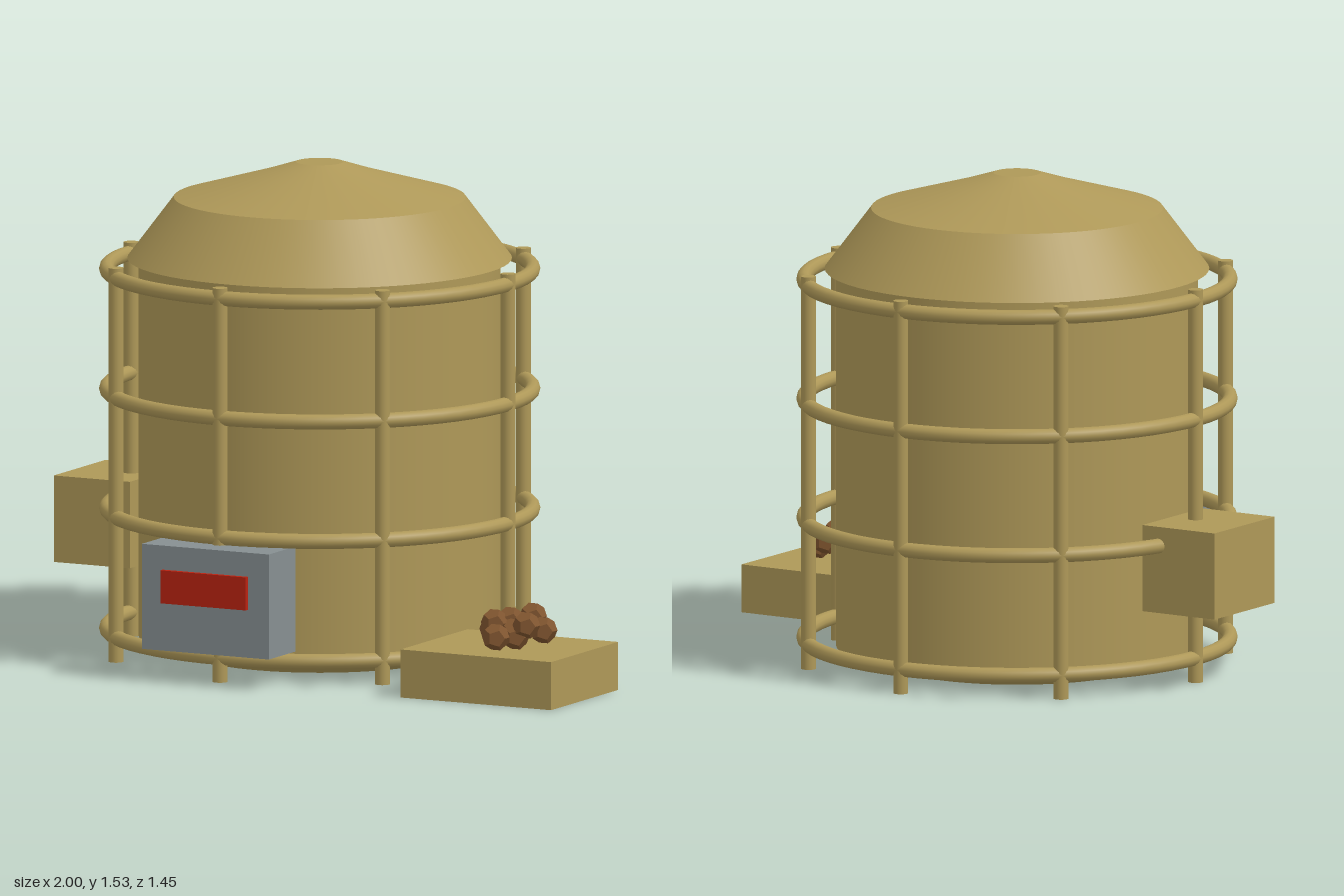
import * as THREE from 'three';

const CX = -0.16, CZ = -0.045; // tank axis

function material(name, color) {
  const m = new THREE.MeshStandardMaterial({ color });
  m.name = name;
  return m;
}

export function createModel() {
  const khaki = material('khaki', 0xae9858);
  const grey = material('grey', 0x868f91);
  const red = material('red', 0xb92211);
  const brown = material('brown', 0x80552f);

  const model = new THREE.Group();
  model.name = 'caged tank';

  const add = (parent, name, geometry, mat, x = 0, y = 0, z = 0) => {
    const mesh = new THREE.Mesh(geometry, mat);
    mesh.name = name;
    mesh.position.set(x, y, z);
    parent.add(mesh);
    return mesh;
  };
  // box given by its limits on each axis
  const box = (name, mat, [x0, x1], [y0, y1], [z0, z1]) =>
    add(model, name, new THREE.BoxGeometry(x1 - x0, y1 - y0, z1 - z0), mat,
      (x0 + x1) / 2, (y0 + y1) / 2, (z0 + z1) / 2);

  // Tank: one lathe per band keeps the edges between bands crisp
  const tank = new THREE.Group();
  tank.name = 'tank';
  tank.position.set(CX, 0, CZ);
  model.add(tank);
  const bands = {
    tankFloor: [[0, 0], [0.41, 0]],
    tankBevel: [[0.41, 0], [0.558, 0.05]],
    tankWall: [[0.558, 0.05], [0.558, 1.23]],
    lidUnderside: [[0.55, 1.23], [0.593, 1.23]],
    lidShoulder: [[0.593, 1.23], [0.45, 1.42]],
    lidCrown: [[0.45, 1.42], [0.18, 1.496], [0.073, 1.53]],
    lidTop: [[0.073, 1.53], [0, 1.53]],
  };
  for (const [name, points] of Object.entries(bands)) {
    const profile = points.map(([r, y]) => new THREE.Vector2(r, y));
    add(tank, name, new THREE.LatheGeometry(profile, 64), khaki);
  }

  // Cage: four hoops and eight posts
  const cage = new THREE.Group();
  cage.name = 'cage';
  cage.position.set(CX, 0, CZ);
  model.add(cage);
  const R = 0.657, ROD = 0.0235;
  const hoop = new THREE.TorusGeometry(R, ROD, 12, 64).rotateX(Math.PI / 2);
  for (const y of [0.075, 0.45, 0.823, 1.197]) add(cage, 'hoop', hoop, khaki, 0, y, 0);
  const post = new THREE.CylinderGeometry(ROD, ROD, 1.23, 16);
  for (let i = 0; i < 8; i++) {
    const a = i * Math.PI / 4;
    add(cage, 'post', post, khaki, R * Math.cos(a), 0.615, R * Math.sin(a));
  }

  // Boxes around the tank
  box('sideBox', khaki, [-1, -0.735], [0.24, 0.51], [-0.22, 0.12]);
  box('controlBox', grey, [-0.38, 0.063], [0.1, 0.428], [0.535, 0.712]);
  box('controlPanel', red, [-0.307, -0.01], [0.25, 0.353], [0.71, 0.728]);
  box('tray', khaki, [0.475, 1], [0, 0.15], [0.18, 0.623]);

  // Heap of lumps on the tray
  const heap = new THREE.Group();
  heap.name = 'heap';
  model.add(heap);
  const lump = new THREE.DodecahedronGeometry(0.043);
  const lumps = [
    [0.765, 0.23, 0.297], [0.835, 0.2, 0.36], [0.695, 0.2, 0.36], [0.683, 0.2, 0.405],
    [0.74, 0.23, 0.4], [0.785, 0.19, 0.45], [0.825, 0.228, 0.455], [0.712, 0.228, 0.45],
    [0.745, 0.192, 0.505], [0.765, 0.2, 0.43],
  ];
  for (const [x, y, z] of lumps) add(heap, 'lump', lump, brown, x, y, z);

  return model;
}
